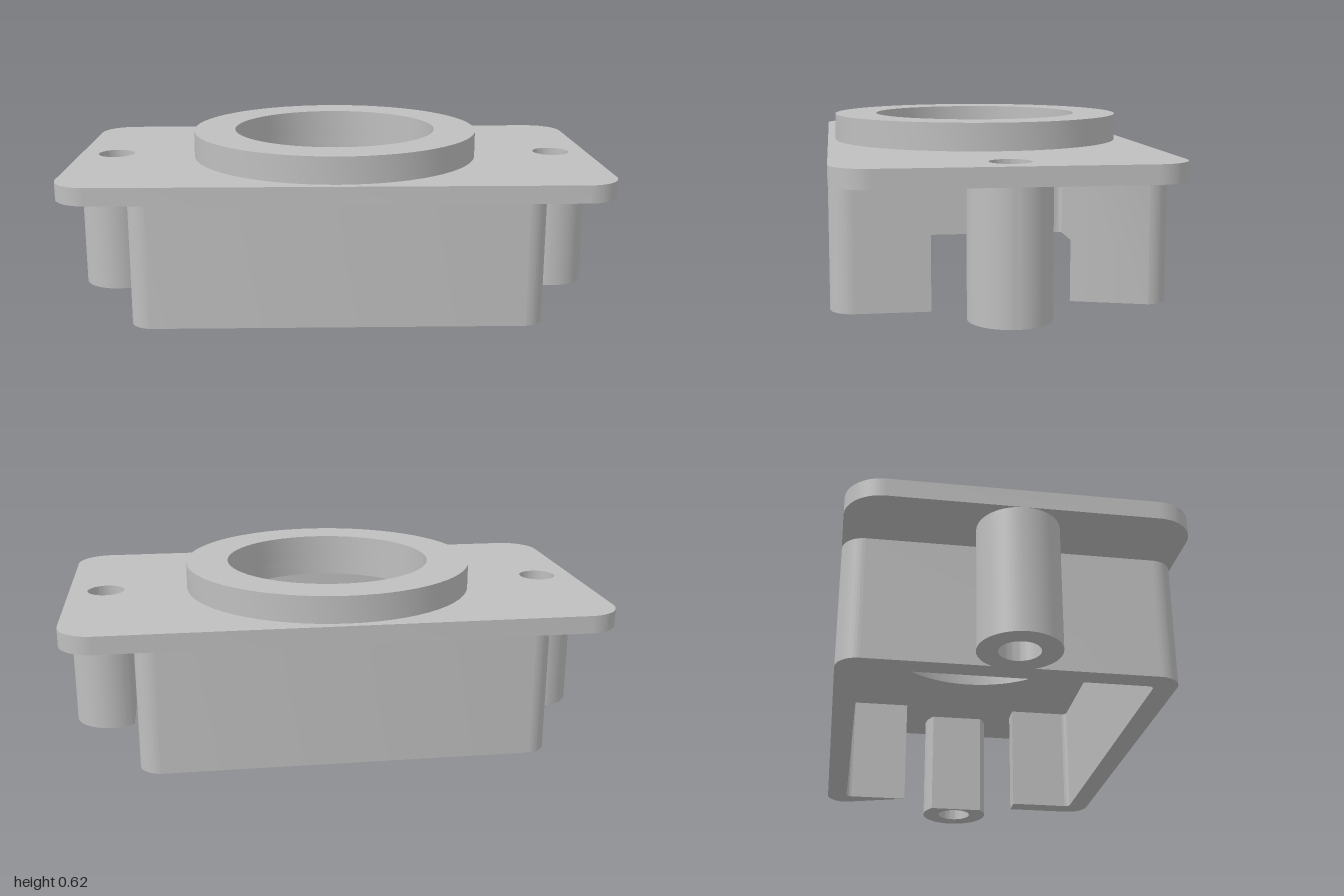
import * as THREE from 'three';
import { toCreasedNormals } from 'three/addons/utils/BufferGeometryUtils.js';

const PLATE_BOTTOM = 0.45, PLATE_TOP = 0.515, RING_TOP = 0.615;
const HALF_DEPTH = 0.58, POST_X = 0.86, POST_R = 0.14, BOLT_R = 0.07, BORE_R = 0.39;

// Circular hole path
function circle(x, y, r) {
  return new THREE.Path().absarc(x, y, r, 0, Math.PI * 2, true);
}

// Rounded rectangle centred on the origin
function roundedRect(hx, hy, r) {
  const s = new THREE.Shape();
  const q = Math.PI / 2;
  s.absarc(hx - r, hy - r, r, 0, q);
  s.absarc(r - hx, hy - r, r, q, 2 * q);
  s.absarc(r - hx, r - hy, r, 2 * q, 3 * q);
  s.absarc(hx - r, r - hy, r, 3 * q, 4 * q);
  s.closePath();
  return s;
}

// Upright prism from y0 to y1, smooth on its round sides
function prism(name, shape, y0, y1, material) {
  const geo = new THREE.ExtrudeGeometry(shape, { depth: y1 - y0, bevelEnabled: false, curveSegments: 32 });
  geo.rotateX(-Math.PI / 2);
  geo.translate(0, y0, 0);
  const mesh = new THREE.Mesh(toCreasedNormals(geo, Math.PI / 6), material);
  mesh.name = name;
  return mesh;
}

// Hollow housing outline, open on +x where the slot clears the post
function housingShape() {
  const ox = 0.74, oz = HALF_DEPTH, r = 0.08, t = 0.08, slot = 0.245;
  const ix = ox - t, iz = oz - t, ir = 0.02, q = Math.PI / 2;
  const s = new THREE.Shape();
  s.moveTo(ox, slot);
  s.absarc(ox - r, oz - r, r, 0, q);
  s.absarc(r - ox, oz - r, r, q, 2 * q);
  s.absarc(r - ox, r - oz, r, 2 * q, 3 * q);
  s.absarc(ox - r, r - oz, r, 3 * q, 4 * q);
  s.lineTo(ox, -slot);
  s.lineTo(ix, -slot);
  s.absarc(ix - ir, ir - iz, ir, 0, -q, true);
  s.absarc(ir - ix, ir - iz, ir, -q, -2 * q, true);
  s.absarc(ir - ix, iz - ir, ir, 2 * q, q, true);
  s.absarc(ix - ir, iz - ir, ir, q, 0, true);
  s.lineTo(ix, slot);
  s.closePath();
  return s;
}

export function createModel() {
  const group = new THREE.Group();
  group.name = 'flangedHousing';
  const grey = new THREE.MeshStandardMaterial({ color: 0xbfbfbf });
  grey.name = 'grey';

  // Flange plate with the bore and two bolt holes
  const plate = roundedRect(1, HALF_DEPTH, 0.13);
  plate.holes.push(circle(0, 0, BORE_R), circle(POST_X, 0, BOLT_R), circle(-POST_X, 0, BOLT_R));
  group.add(prism('flangePlate', plate, PLATE_BOTTOM, PLATE_TOP, grey));

  // Raised collar around the bore
  const collar = new THREE.Shape().absarc(0, 0, 0.55, 0, Math.PI * 2);
  collar.holes.push(circle(0, 0, BORE_R));
  group.add(prism('collar', collar, PLATE_TOP, RING_TOP, grey));

  // Hollow housing below the plate
  group.add(prism('housingWalls', housingShape(), 0, PLATE_BOTTOM, grey));

  // Bolt posts: the left one has a flat facing the slot
  const flat = Math.acos(-0.085 / POST_R);
  for (const [name, x, a] of [['leftPost', POST_X, flat], ['rightPost', -POST_X, Math.PI]]) {
    const post = new THREE.Shape().absarc(x, 0, POST_R, -a, a);
    post.closePath();
    post.holes.push(circle(x, 0, BOLT_R));
    group.add(prism(name, post, 0, PLATE_BOTTOM, grey));
  }
  return group;
}
